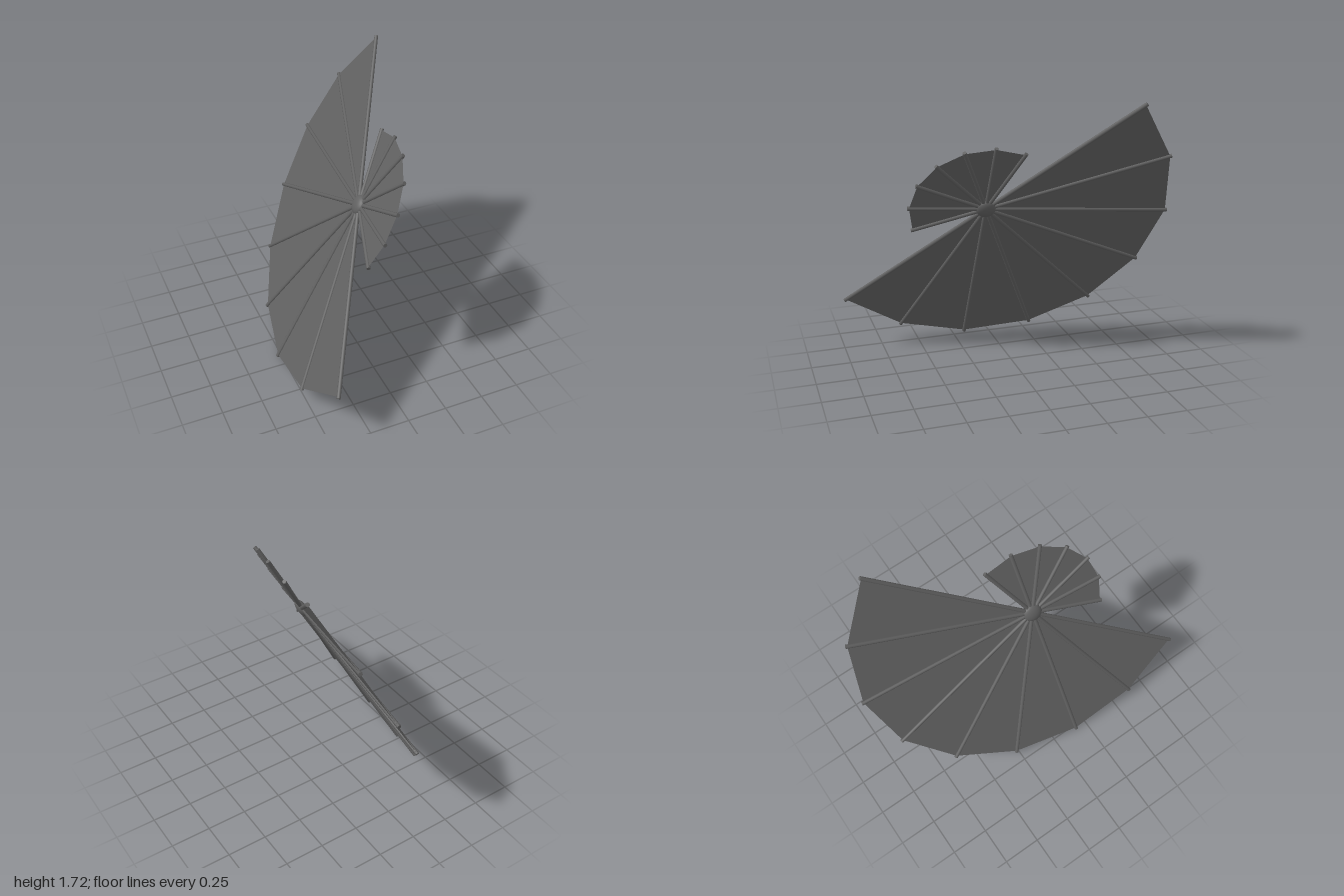
import * as THREE from 'three';

const STEP = Math.PI / 8;
const HUB = [0.035, 1.04, 0.17];

export function createModel() {
  const model = new THREE.Group();
  model.name = 'spiralFan';
  const mat = new THREE.MeshStandardMaterial({ color: 0x606060 });
  const sheetMat = new THREE.MeshStandardMaterial({ color: 0x606060, side: THREE.DoubleSide });

  // Tilted plane holding the whole fan; local x follows the lowest spoke
  const fan = new THREE.Group();
  fan.name = 'fan';
  const u = new THREE.Vector3(-0.481, -0.877, 0).normalize();
  const v = new THREE.Vector3(-0.107, 0.058, 0.993);
  const n = u.clone().cross(v).normalize();
  v.crossVectors(n, u);
  fan.quaternion.setFromRotationMatrix(new THREE.Matrix4().makeBasis(u, v, n));
  fan.position.set(...HUB);
  model.add(fan);

  // A sector of spokes with a thin faceted sheet stretched between them
  function addSector(name, first, last, length) {
    const shape = new THREE.Shape();
    shape.moveTo(0, 0);
    const spokeGeo = new THREE.CylinderGeometry(0.0125, 0.0125, length, 8);
    spokeGeo.translate(0, length / 2, 0);
    for (let k = first; k <= last; k++) {
      const a = (k - 6) * STEP;
      shape.lineTo(Math.cos(a) * (length - 0.01), Math.sin(a) * (length - 0.01));
      const spoke = new THREE.Mesh(spokeGeo, mat);
      spoke.name = name + 'Spoke';
      spoke.rotation.z = a - Math.PI / 2;
      fan.add(spoke);
    }
    shape.closePath();
    const sheet = new THREE.Mesh(new THREE.ShapeGeometry(shape), sheetMat);
    sheet.name = name + 'Sheet';
    fan.add(sheet);
  }
  addSector('large', 0, 8, 1.17);
  addSector('small', 9, 15, 0.48);

  // Flattened round hub
  const hub = new THREE.Mesh(new THREE.SphereGeometry(0.062, 24, 16), mat);
  hub.name = 'hub';
  hub.scale.z = 0.5;
  fan.add(hub);

  return model;
}
